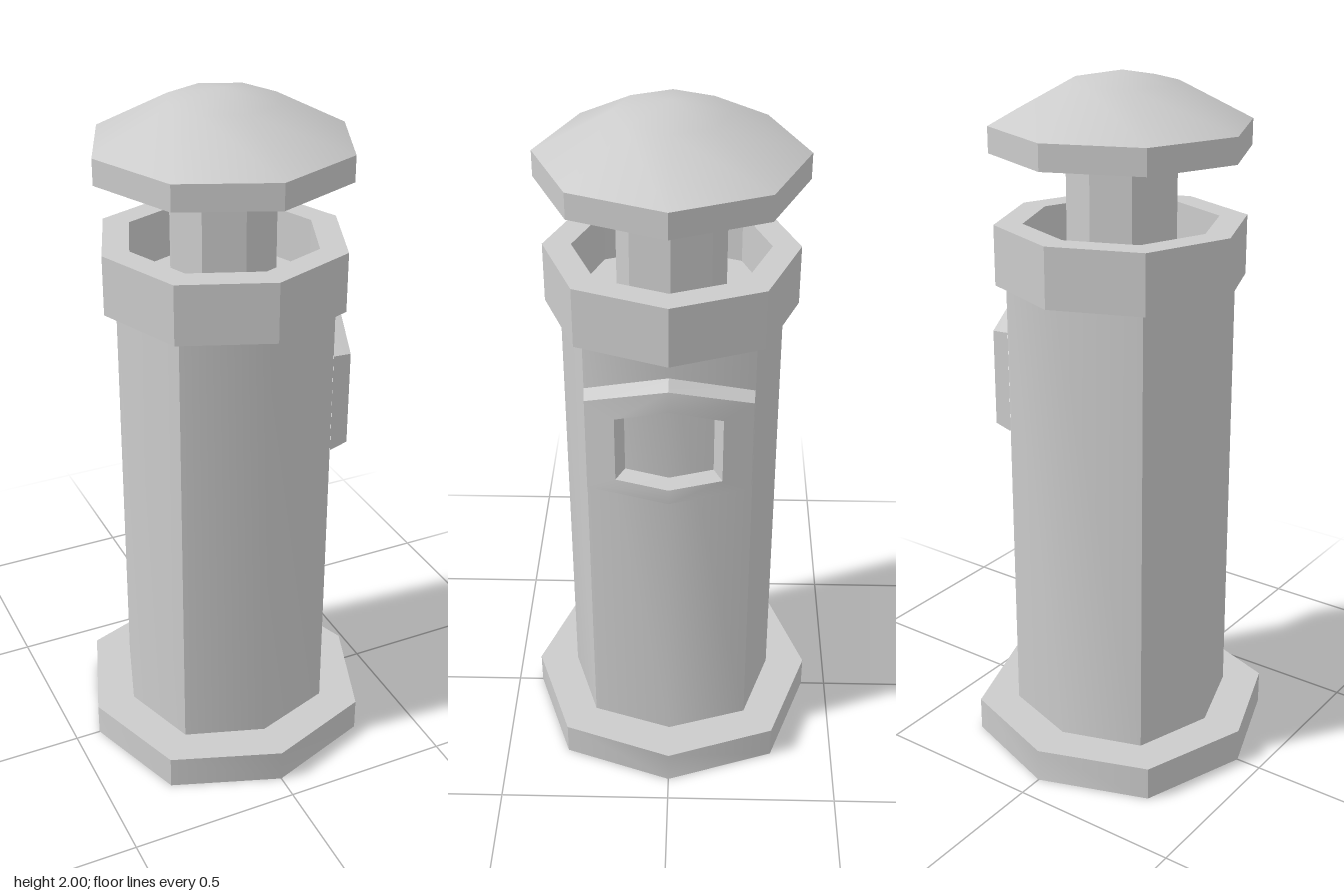
import * as THREE from 'three';
import { toCreasedNormals } from 'three/addons/utils/BufferGeometryUtils.js';

const material = new THREE.MeshStandardMaterial({ color: 0xcccccc });
const CREASE = 0.7;

// Eight-sided turned part: profile of [axis radius, y] from the bottom up;
// the four diagonal corners lie at (diagonal, diagonal) for each unit of axis radius.
function octagon(name, profile, diagonal) {
  const geo = new THREE.LatheGeometry(profile.map(([r, y]) => new THREE.Vector2(r, y)), 8);
  const p = geo.attributes.position;
  for (let i = 0; i < p.count; i++) {
    const x = p.getX(i), z = p.getZ(i);
    if (Math.min(Math.abs(x), Math.abs(z)) < 1e-4) continue;
    const r = Math.hypot(x, z);
    p.setX(i, Math.sign(x) * r * diagonal);
    p.setZ(i, Math.sign(z) * r * diagonal);
  }
  const mesh = new THREE.Mesh(toCreasedNormals(geo, CREASE), material);
  mesh.name = name;
  return mesh;
}

// Gabled window surround, folded around the tower's +x corner
function windowFrame() {
  const loop = ({ half, bottom, side, top, out }) =>
    [[0, bottom], [-half, bottom], [-half, side], [0, top], [half, side], [half, bottom]]
      .map(([z, y]) => [0.305 - Math.abs(z) * 0.075 / 0.23 + out, y, z]);
  const loops = [
    { half: 0.229, bottom: 0.988, side: 1.285, top: 1.367, out: 0 },      // outer edge on wall
    { half: 0.225, bottom: 1.0, side: 1.28, top: 1.357, out: 0.054 },     // outer front edge
    { half: 0.145, bottom: 1.045, side: 1.24, top: 1.295, out: 0.054 },   // opening front edge
    { half: 0.12, bottom: 1.05, side: 1.235, top: 1.285, out: -0.002 },   // opening on wall
  ].map(loop);
  const pos = [];
  for (let j = 0; j < loops.length - 1; j++) {
    for (let i = 0; i < 6; i++) {
      const k = (i + 1) % 6;
      const [a, b, c, d] = [loops[j][i], loops[j][k], loops[j + 1][k], loops[j + 1][i]];
      pos.push(...a, ...b, ...c, ...a, ...c, ...d);
    }
  }
  const geo = new THREE.BufferGeometry();
  geo.setAttribute('position', new THREE.Float32BufferAttribute(pos, 3));
  const mesh = new THREE.Mesh(toCreasedNormals(geo, CREASE), material);
  mesh.name = 'windowFrame';
  return mesh;
}

export function createModel() {
  const group = new THREE.Group();
  group.name = 'tower';
  group.add(
    octagon('base', [[0, 0], [0.425, 0], [0.425, 0.1], [0, 0.1]], 0.737),
    octagon('towerBody', [[0.306, 0.1], [0.306, 1.43]], 0.75),
    // open gallery with a raised rim and sunken floor
    octagon('gallery', [[0.3, 1.415], [0.348, 1.425], [0.348, 1.595], [0.27, 1.595], [0.27, 1.45], [0, 1.45]], 0.72),
    octagon('lantern', [[0.15, 1.45], [0.15, 1.79]], 0.728),
    octagon('roof', [[0, 1.79], [0.363, 1.79], [0.363, 1.862], [0.155, 1.97], [0, 2]], 0.705),
    windowFrame(),
  );
  return group;
}
